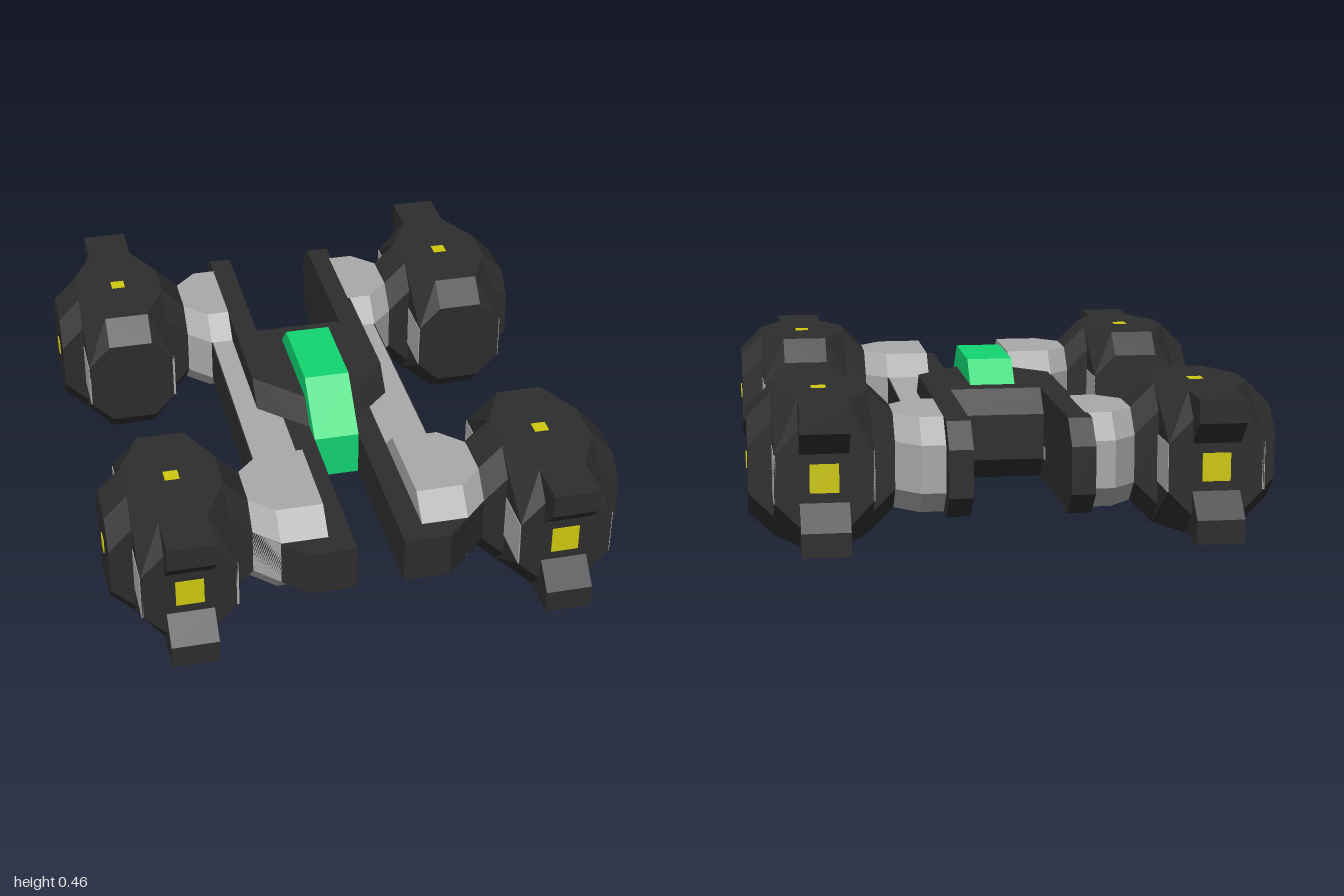
import * as THREE from 'three';
import { ConvexGeometry } from 'three/addons/geometries/ConvexGeometry.js';

const mat = (name, color) => {
  const m = new THREE.MeshStandardMaterial({ color });
  m.name = name;
  return m;
};

export function createModel() {
  const dark = mat('charcoal', 0x2d2d2d);
  const grey = mat('light grey', 0xa9a9a9);
  const green = mat('green', 0x12d671);
  const yellow = mat('yellow', 0xcfc90f);

  // All sizes are in grid units; the whole group is scaled at the end.
  const model = new THREE.Group();
  const add = (parent, name, geo, material, x = 0, y = 0, z = 0) => {
    const m = new THREE.Mesh(geo, material);
    m.name = name;
    m.position.set(x, y, z);
    parent.add(m);
    return m;
  };
  const box = (w, h, d) => new THREE.BoxGeometry(w, h, d);
  const hull = (pts) => new ConvexGeometry(pts.map((p) => new THREE.Vector3(...p)));
  // Chamfered rectangle corners, half sizes a and b
  const octagon = (a, b, c = 1) => {
    const out = [];
    for (const s of [-1, 1]) for (const t of [-1, 1]) out.push([s * a, t * (b - c)], [s * (a - c), t * b]);
    return out;
  };
  // Extrudes a (z, y) profile across x, centred on x = 0
  const sideProfile = (pts, width) => {
    const shape = new THREE.Shape(pts.map(([z, y]) => new THREE.Vector2(-z, y)));
    const g = new THREE.ExtrudeGeometry(shape, { depth: width, bevelEnabled: false });
    return g.translate(0, 0, -width / 2).rotateY(Math.PI / 2);
  };

  // Pod geometry, shared by the four corners
  const drumPts = [];
  const corePts = [];
  for (const s of [-1, 1]) {
    for (const [a, b] of octagon(2, 2)) {
      drumPts.push([s * 3, a, b], [a, s * 3, b]);
      corePts.push([a, b, s * 4]);
    }
    for (const [a, b] of octagon(2, 3, 1)) corePts.push([a, s * 3, Math.sign(b) * (Math.abs(a) === 2 ? 1 : 3)]);
  }
  const drumGeo = hull(drumPts);
  const coreGeo = hull(corePts);
  const prongGeo = sideProfile([[2, 1], [4, 1], [5, 2], [5, 3], [2, 3]], 2);
  const prongGeoLow = sideProfile([[2, -1], [4, -1], [5, -2], [5, -3], [2, -3]], 2);

  for (const sx of [-1, 1]) {
    for (const sz of [-1, 1]) {
      const pod = new THREE.Group();
      pod.name = 'wheelPod';
      pod.position.set(8 * sx, 3, 8 * sz);
      if (sz < 0) pod.rotation.y = Math.PI;
      model.add(pod);
      add(pod, 'podDrum', drumGeo, dark);
      add(pod, 'podCore', coreGeo, dark);
      add(pod, 'upperProng', prongGeo, dark);
      add(pod, 'lowerProng', prongGeoLow, dark);
      add(pod, 'endLamp', box(1.18, 1.18, 0.1), yellow, 0, 0, 4);
      for (const s of [-1, 1]) {
        add(pod, 'sideLamp', box(0.1, 0.62, 0.62), yellow, s * 3, 0, 0);
        add(pod, 'capLamp', box(0.62, 0.1, 0.62), yellow, 0, s * 2.97, 0);
        for (const t of [-1, 1]) add(pod, 'sidePanel', box(0.1, 2, 2), grey, s * 1.98, 0, t * 3);
      }

      // Hub joining the arm to the pod
      const pts = [];
      for (const [z, y] of octagon(3, 2)) {
        pts.push([sx * (sz > 0 ? 2 : 2.9), y, z], [sx * 4, y, z]);
      }
      for (const [z, y] of octagon(2, 2)) pts.push([sx * 5, y, z]);
      add(model, 'hub', hull(pts), grey, 0, 3, 8 * sz);
    }

    // Long grey arm with a dark outer face
    add(model, 'arm', box(1.95, 2, 11), grey, sx * 2.975, 3, 0);
    add(model, 'armCover', box(0.08, 1.96, 10.4), dark, sx * 3.97, 3, 0);

    // Tall rear rail
    add(model, 'rearRail', sideProfile(
      [[-12, 2], [-12, 4], [-11, 5], [-1, 5], [0, 4], [0, 2], [-1, 1], [-11, 1]], 1), dark, sx * 2.5);

    // Low front rail with a swept toe under the hub
    const plan = [[1, 2], [2, 2], [2, 8], [5, 8], [5, 10], [3, 12], [1, 12]];
    const shape = new THREE.Shape(plan.map(([x, z]) => new THREE.Vector2(sx * x, -z)));
    const rail = new THREE.ExtrudeGeometry(shape, { depth: 2.02, bevelEnabled: false });
    add(model, 'frontRail', rail.rotateX(-Math.PI / 2), dark, 0, 1.99, 0);
  }

  // Central hull, tapering towards the front
  const bodyPts = [];
  for (const s of [-1, 1]) {
    for (const t of [-1, 1]) {
      bodyPts.push([s * 3, 2 * t, -4], [s * 3, 2 * t, 0], [s, 2 * t, 2]);
      bodyPts.push([s * 3, t, -5], [s * 3, t, 1], [s, t, 3]);
    }
  }
  add(model, 'centralHull', hull(bodyPts), dark, 0, 3, 0);

  // Green canopy ridge
  add(model, 'canopy', sideProfile(
    [[4, 2], [4, 4], [2, 6], [-2, 6], [-3, 5], [-3, 4], [2, 4], [2.5, 2]], 2), green);

  model.scale.setScalar(1 / 13);
  const root = new THREE.Group();
  root.name = 'rover';
  root.add(model);
  return root;
}
